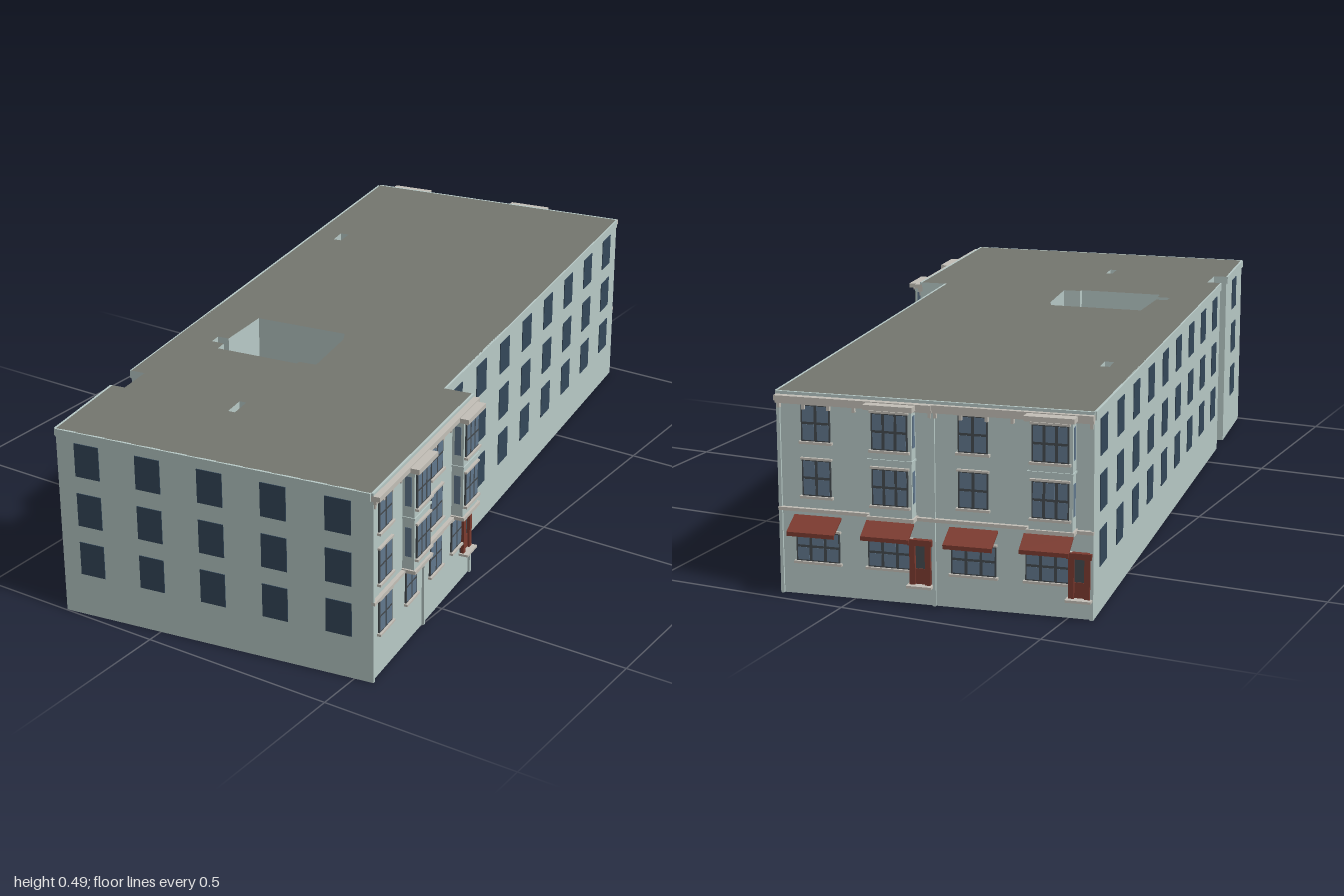
import * as THREE from 'three';

const mat = (color, side = THREE.FrontSide) => new THREE.MeshStandardMaterial({ color, side, flatShading: true });
const WALL = mat(0xb9cbc8), ROOF = mat(0x757770), PANE = mat(0x34485a), GLASS = mat(0x62788e),
  TRIM = mat(0xc4c0b8), FRAME = mat(0x454b50), RED = mat(0x7d3b30);
const H = 0.485;
const FLOORS = [0.153, 0.283, 0.413];

// Plan corners as [x, z], counter-clockwise seen from above
const OUTLINE = [[-0.315, 0.645], [-0.278, 0.639], [-0.265, 0.732], [-0.3, 0.738], [-0.255, 0.998],
  [0.542, 0.873], [0.455, 0.302], [0.385, 0.313], [0.18, -0.96], [-0.558, -0.838]];
const SHAFTS = [
  [[-0.25, 0.203], [-0.005, 0.167], [0.012, 0.198], [0.045, 0.367], [0, 0.375], [0, 0.387],
    [-0.22, 0.418], [-0.226, 0.386], [-0.26, 0.39], [-0.265, 0.358], [-0.235, 0.353]],
  [[-0.424, -0.432], [-0.4, -0.436], [-0.392, -0.386], [-0.414, -0.382]],
  [[0.015, 0.644], [0.033, 0.641], [0.043, 0.7], [0.025, 0.703]]
];

function box(parent, name, material, w, h, d, x, y, z) {
  const m = new THREE.Mesh(new THREE.BoxGeometry(w, h, d), material);
  m.name = name;
  m.position.set(x, y, z);
  parent.add(m);
}

// Group whose x runs along the wall (left to right seen from outside), z points outward
function wallFrame(root, name, a, b) {
  const g = new THREE.Group();
  const dx = b[0] - a[0], dz = b[1] - a[1];
  g.name = name;
  g.position.set(a[0], 0, a[1]);
  g.rotation.y = Math.atan2(-dz, dx);
  g.userData.length = Math.hypot(dx, dz);
  root.add(g);
  return g;
}

// Plain wall with a regular grid of dark panes
function plainWall(root, name, a, b, columns) {
  const g = wallFrame(root, name, a, b), L = g.userData.length;
  for (let i = 0; i < columns; i++)
    for (const y of FLOORS) box(g, 'windowPane', PANE, 0.065, 0.086, 0.003, L * (i + 0.5) / columns, y, 0.0005);
  box(g, 'roofFascia', WALL, L, 0.02, 0.006, L / 2, H - 0.01, 0.001);
}

// Framed sash window with sill, lintel and vertical lights
function sashWindow(g, x, y, z, w, h, lights) {
  box(g, 'windowFrame', FRAME, w, h, 0.005, x, y, z + 0.0015);
  const cell = w / lights;
  for (let i = 0; i < lights; i++)
    for (const s of [-1, 1])
      box(g, 'windowGlass', GLASS, cell - 0.007, h / 2 - 0.006, 0.002, x - w / 2 + cell * (i + 0.5), y + s * h / 4, z + 0.0035);
  box(g, 'windowSill', TRIM, w + 0.01, 0.006, 0.011, x, y - h / 2 - 0.003, z + 0.004);
  box(g, 'windowLintel', TRIM, w + 0.006, 0.005, 0.008, x, y + h / 2 + 0.0025, z + 0.003);
}

// Projecting bay over the upper two floors
function bay(g, x, w) {
  const d = 0.03, bottom = 0.208;
  box(g, 'bayBody', WALL, w, 0.465 - bottom, d, x, (0.465 + bottom) / 2, d / 2);
  box(g, 'bayBase', TRIM, w + 0.01, 0.009, d + 0.006, x, bottom, (d + 0.006) / 2);
  box(g, 'bayBand', WALL, w + 0.005, 0.005, d + 0.003, x, 0.345, (d + 0.003) / 2);
  box(g, 'bayCornice', TRIM, w + 0.014, 0.012, 0.045, x, 0.47, 0.0225);
  for (const y of [FLOORS[1], FLOORS[2]]) {
    sashWindow(g, x, y, d, w - 0.016, 0.086, 3);
    for (const s of [-1, 1]) box(g, 'baySideGlass', GLASS, 0.002, 0.075, 0.016, x + s * w / 2, y, d / 2);
  }
}

// Sloping shop awning with a short valance
function awning(g, x, w, reach) {
  const s = new THREE.Shape([[0, 0.192], [reach, 0.166], [reach, 0.156], [reach - 0.003, 0.156],
    [reach - 0.003, 0.163], [0, 0.187]].map(([px, py]) => new THREE.Vector2(px, py)));
  const geo = new THREE.ExtrudeGeometry(s, { depth: w, bevelEnabled: false });
  geo.rotateY(-Math.PI / 2);
  const m = new THREE.Mesh(geo, RED);
  m.name = 'awning';
  m.position.set(x + w / 2, 0, 0);
  g.add(m);
}

function door(g, x, y0, h) {
  const w = 0.05;
  box(g, 'doorLeaf', FRAME, w, h, 0.004, x, y0 + h / 2, 0.001);
  for (const s of [-1, 1]) box(g, 'doorJamb', RED, 0.013, h, 0.012, x + s * (w / 2 - 0.0065), y0 + h / 2, 0.005);
  box(g, 'doorHead', RED, w + 0.008, 0.014, 0.015, x, y0 + h - 0.004, 0.006);
  box(g, 'doorPanel', RED, w - 0.026, h * 0.35, 0.007, x, y0 + h * 0.18, 0.002);
  box(g, 'doorStep', TRIM, w + 0.01, 0.006, 0.024, x, y0 - 0.003, 0.012);
}

// Ornate four-column facade: flat and bay columns alternate
function facade(root, name, a, b, shops) {
  const g = wallFrame(root, name, a, b), L = g.userData.length, col = L / 4;
  for (let i = 0; i < 4; i++) {
    const x = col * (i + 0.5), isBay = i % 2 === 1;
    if (isBay) bay(g, x, shops ? 0.102 : 0.092);
    else for (const y of [FLOORS[1], FLOORS[2]]) sashWindow(g, x, y, 0, 0.07, 0.086, 2);

    // Ground floor
    if (shops) {
      const sx = isBay ? x - 0.012 : x;
      sashWindow(g, sx, 0.118, 0, 0.106, 0.072, 3);
      awning(g, sx, 0.115, isBay ? 0.044 : 0.055);
      if (isBay) door(g, col * (i + 1) - 0.032, 0.05, 0.105);
    } else {
      sashWindow(g, i === 3 ? x - 0.018 : x, FLOORS[0], 0, isBay ? 0.062 : 0.07, 0.084, 2);
      if (i === 3) door(g, L - 0.036, 0.08, 0.105);
    }
  }
  // String course, cornice and brackets for each half
  for (let k = 0; k < 2; k++) {
    const half = L / 2, cx = half * (k + 0.5), d = shops && k === 1 ? 0.017 : 0.022;
    box(g, 'stringCourse', TRIM, half, 0.008, 0.01, cx, 0.206, 0.005);
    box(g, 'cornice', TRIM, half, 0.012, d, cx, 0.472, d / 2);
    box(g, 'parapet', WALL, half, 0.007, 0.006, cx, H - 0.0035, 0.003);
    box(g, 'corniceBed', TRIM, half, 0.008, d * 0.6, cx, 0.462, d * 0.3);
    for (let j = 0; j < 7; j++) {
      const x = half * k + 0.006 + (half - 0.012) * j / 6;
      box(g, 'corniceBracket', TRIM, 0.007, 0.014, 0.01, x, 0.453, 0.005);
    }
  }
  // Thin pilasters at the ends and between the halves
  for (const x of [0.004, L / 2, L - 0.004]) box(g, 'pilaster', WALL, 0.008, H - 0.02, 0.008, x, (H - 0.02) / 2, 0.002);
}

export function createModel() {
  const root = new THREE.Group();
  root.name = 'building';

  // Main block with light wells
  const pts = list => list.map(([x, z]) => new THREE.Vector2(x, -z));
  const shape = new THREE.Shape(pts(OUTLINE));
  for (const s of SHAFTS) shape.holes.push(new THREE.Path(pts(s)));
  const geo = new THREE.ExtrudeGeometry(shape, { depth: H, bevelEnabled: false });
  geo.rotateX(-Math.PI / 2);
  const block = new THREE.Mesh(geo, [ROOF, WALL]);
  block.name = 'mainBlock';
  root.add(block);

  const P = OUTLINE;
  plainWall(root, 'frontWall', P[4], P[5], 5);
  plainWall(root, 'longSideWall', P[7], P[8], 8);
  plainWall(root, 'oppositeSideWall', P[9], P[0], 9);
  plainWall(root, 'cornerSideWall', P[3], P[4], 1);
  facade(root, 'sideFacade', P[5], P[6], false);
  facade(root, 'shopFacade', P[8], P[9], true);
  return root;
}
